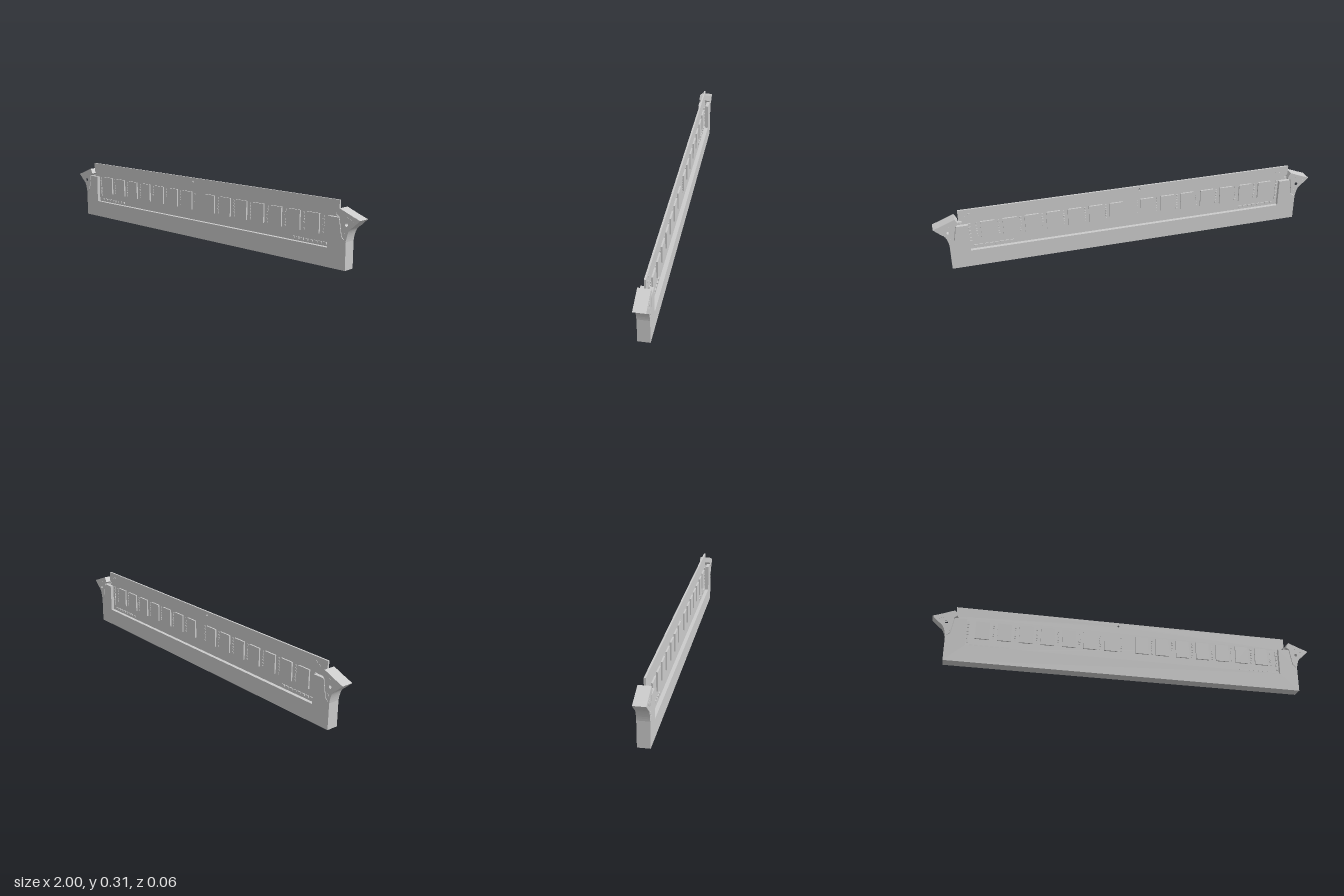
import * as THREE from 'three';

const grey = new THREE.MeshStandardMaterial({ color: 0xcccccc, flatShading: true });

function add(parent, name, geometry) {
  const mesh = new THREE.Mesh(geometry, grey);
  mesh.name = name;
  parent.add(mesh);
  return mesh;
}

function box(parent, name, w, h, d, x, y, z) {
  const mesh = add(parent, name, new THREE.BoxGeometry(w, h, d));
  mesh.position.set(x, y, z);
  return mesh;
}

const outline = pts => new THREE.Shape(pts.map(p => new THREE.Vector2(...p)));
const mirrored = pts => pts.map(([x, y]) => [-x, y]).reverse();

// Plate of a front outline between two depths
function plate(parent, name, shape, z0, z1) {
  const geometry = new THREE.ExtrudeGeometry(shape, { depth: z1 - z0, bevelEnabled: false, curveSegments: 10 });
  geometry.translate(0, 0, z0);
  return add(parent, name, geometry);
}

function circleHole(x, y, r) {
  const path = new THREE.Path();
  path.absarc(x, y, r, 0, Math.PI * 2, true);
  return path;
}

export function createModel() {
  const model = new THREE.Group();
  const D = 0.03;       // half depth of the socket
  const slot = 0.012;   // half width of the board slot
  const bt = 0.0045;    // half thickness of the board

  // Socket: two long cheeks joined by a core that leaves a slot for the board
  const socket = new THREE.Group();
  socket.name = 'socket';
  model.add(socket);
  const halfCheek = [[0.93, 0], [0.93, 0.13], [0.905, 0.15], [0.89, 0.235], [0.83, 0.235], [0.83, 0.09]];
  const halfCore = [[0.93, 0], [0.93, 0.13], [0.905, 0.15], [0.89, 0.225], [0.885, 0.225], [0.885, 0.07]];
  const cheek = outline([...halfCheek, ...mirrored(halfCheek)]);
  plate(socket, 'frontCheek', cheek, slot, D);
  plate(socket, 'backCheek', cheek, -D, -slot);
  plate(socket, 'slotCore', outline([...halfCore, ...mirrored(halfCore)]), -slot, slot);

  // Swinging latches at both ends, with a concave outer side and an inward hook
  for (const s of [-1, 1]) {
    const latch = new THREE.Group();
    latch.name = s > 0 ? 'leftLatch' : 'rightLatch';
    model.add(latch);
    const shape = new THREE.Shape();
    shape.moveTo(s * 0.93, 0.13);
    shape.quadraticCurveTo(s * 0.938, 0.19, s * 0.963, 0.2);
    shape.lineTo(s * 1.0, 0.235);
    shape.lineTo(s * 0.985, 0.241);
    shape.lineTo(s * 0.965, 0.248);
    shape.lineTo(s * 0.892, 0.277);
    shape.lineTo(s * 0.877, 0.25);
    shape.lineTo(s * 0.893, 0.238);
    shape.lineTo(s * 0.908, 0.152);
    shape.holes.push(circleHole(s * 0.93, 0.208, 0.008));
    plate(latch, 'latchBody', shape, -D, D);
    // Raised ribs and pivot boss on both faces
    for (const f of [-1, 1]) {
      const rib = box(latch, 'latchRib', 0.045, 0.006, 0.002, s * 0.945, 0.235, f * D);
      rib.rotation.z = -s * 0.38;
      const pivot = add(latch, 'pivot', new THREE.CylinderGeometry(0.008, 0.008, 0.002, 12));
      pivot.rotation.x = Math.PI / 2;
      pivot.position.set(s * 0.918, 0.165, f * D);
    }
  }

  // Circuit board with notched sides and a small hole
  const board = new THREE.Group();
  board.name = 'board';
  model.add(board);
  const pcb = outline([
    [-0.87, 0.072], [0.87, 0.072], [0.87, 0.235], [0.858, 0.24], [0.858, 0.25], [0.874, 0.255], [0.874, 0.309],
    [-0.886, 0.309], [-0.886, 0.255], [-0.87, 0.25], [-0.87, 0.24], [-0.88, 0.235], [-0.88, 0.072],
  ]);
  pcb.holes.push(circleHole(-0.05, 0.29, 0.005));
  plate(board, 'circuitBoard', pcb, -bt, bt);

  for (const f of [-1, 1]) {
    // Two banks of seven memory chips, with small resistors in the gaps
    for (const start of [-0.75, 0.075]) {
      for (let i = 0; i < 7; i++) {
        const x = start + i * 0.11;
        box(board, 'chip', 0.07, 0.094, 0.008, x, 0.188, f * (bt + 0.004));
        for (let j = 0; j < 6; j++)
          box(board, 'resistor', 0.008, 0.008, 0.004, x + 0.055, 0.15 + j * 0.015, f * (bt + 0.001));
      }
    }
    for (const s of [-1, 1]) {
      // Rows of small parts along the lower and side edges
      for (let i = 0; i < 8; i++)
        box(board, 'edgeResistor', 0.018, 0.01, 0.006, s * (0.62 + i * 0.026), 0.102, f * (bt + 0.002));
      for (let i = 0; i < 6; i++)
        box(board, 'sideResistor', 0.01, 0.014, 0.006, s * 0.823, 0.125 + i * 0.02, f * (bt + 0.002));
    }
  }
  // Tiny parts near the top corners of the back
  for (const s of [-1, 1])
    for (const [dx, y] of [[0, 0.285], [0.02, 0.272]])
      box(board, 'cornerPart', 0.01, 0.008, 0.003, s * (0.82 + dx), y, -bt - 0.001);

  return model;
}
